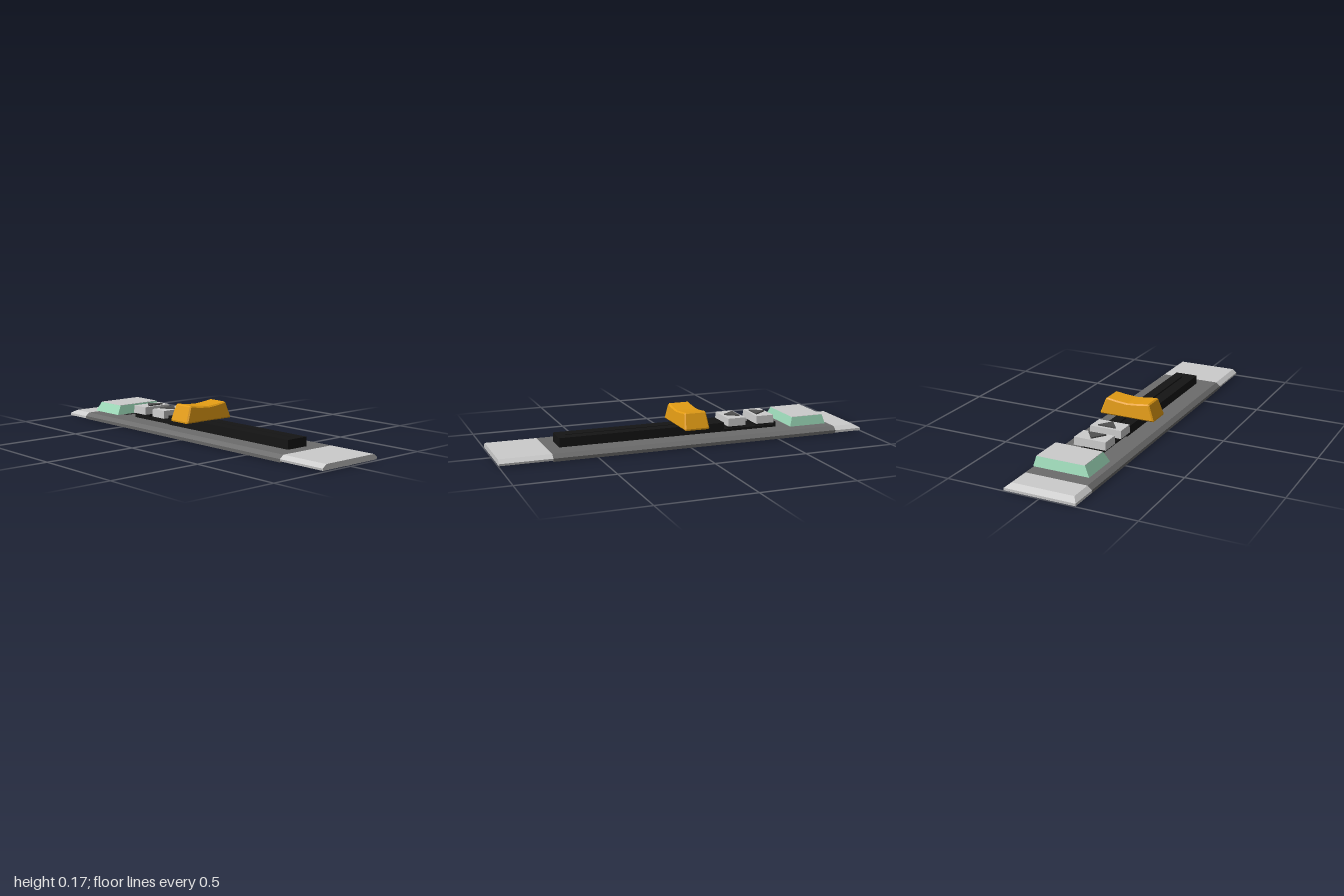
import * as THREE from 'three';

const mat = (color, side = THREE.FrontSide) =>
  new THREE.MeshStandardMaterial({ color, side, flatShading: true });
const GREY = mat(0xcccccc), PLATE = mat(0x6c6c6c), DARK = mat(0x505050), BLACK = mat(0x151515),
  BROWN = mat(0x5a5448), GREY_SHELL = mat(0xcccccc, THREE.DoubleSide),
  ORANGE_SHELL = mat(0xe39c14, THREE.DoubleSide), GREEN_SHELL = mat(0x9ad6b6, THREE.DoubleSide);

function add(group, name, geometry, material) {
  const mesh = new THREE.Mesh(geometry, material);
  mesh.name = name;
  group.add(mesh);
  return mesh;
}

// Box given by its limits on each axis
function box(x0, x1, y0, y1, z0, z1) {
  return new THREE.BoxGeometry(x1 - x0, y1 - y0, z1 - z0)
    .translate((x0 + x1) / 2, (y0 + y1) / 2, (z0 + z1) / 2);
}

// Box whose top face is narrowed to its own limits
function taperedBox([x0, x1, z0, z1], y0, [a0, a1, c0, c1], y1) {
  const g = new THREE.BoxGeometry(1, 1, 1);
  const p = g.attributes.position;
  for (let i = 0; i < p.count; i++) {
    const top = p.getY(i) > 0, right = p.getX(i) > 0, front = p.getZ(i) > 0;
    p.setXYZ(i,
      top ? (right ? a1 : a0) : (right ? x1 : x0),
      top ? y1 : y0,
      top ? (front ? c1 : c0) : (front ? z1 : z0));
  }
  g.computeVertexNormals();
  return g;
}

// Section in (z, y) run along x
function runAlongX(points, x0, x1, bevel = 0) {
  const shape = new THREE.Shape(points.map(([z, y]) => new THREE.Vector2(-z, y)));
  return new THREE.ExtrudeGeometry(shape, {
    depth: x1 - x0 - 2 * bevel, bevelEnabled: bevel > 0, bevelSize: bevel,
    bevelThickness: bevel, bevelOffset: -bevel, bevelSegments: 1,
  }).rotateY(Math.PI / 2).translate(x0 + bevel, 0, 0);
}

// Removes the flat underside, leaving a shell open below
function openBelow(source) {
  const g = source.index ? source.toNonIndexed() : source;
  g.computeBoundingBox();
  const limit = g.boundingBox.min.y + 0.0005;
  const p = g.attributes.position.array, kept = [];
  for (let i = 0; i < p.length; i += 9) {
    if (Math.max(p[i + 1], p[i + 4], p[i + 7]) > limit) kept.push(...p.slice(i, i + 9));
  }
  const shell = new THREE.BufferGeometry();
  shell.setAttribute('position', new THREE.Float32BufferAttribute(kept, 3));
  shell.computeVertexNormals();
  return shell;
}

// Plate section with bevelled upper edges
const upperEdge = [[0.189, 0.017], [0.166, 0.035], [-0.166, 0.035], [-0.189, 0.017]];
const plateSection = (bottom) => [[-0.187, bottom], [0.187, bottom], ...upperEdge];

export function createModel() {
  const model = new THREE.Group();
  model.name = 'sliderPanel';

  // Base plate, with a shallow bay in the underside at the key end
  const base = new THREE.Group();
  base.name = 'base';
  model.add(base);
  add(base, 'basePlate', runAlongX(plateSection(0), -0.6, 0.73), PLATE);
  add(base, 'bayPlate', runAlongX([[-0.187, 0], [-0.175, 0], [-0.175, 0.025], [0.175, 0.025],
    [0.175, 0], [0.187, 0], ...upperEdge], -0.845, -0.6), PLATE);
  add(base, 'bayLining', box(-0.845, -0.6, 0.022, 0.026, -0.175, 0.175), BROWN);

  // Light end caps, hollow below; the one at the key end is bevelled at its tip
  add(base, 'plainEndCap', openBelow(runAlongX(plateSection(0.006), 0.73, 1)), GREY_SHELL);
  add(base, 'bevelledEndCap', openBelow(taperedBox([-1, -0.845, -0.187, 0.187], 0.003,
    [-1, -0.845, -0.189, 0.189], 0.016)).clone(), GREY_SHELL).geometry = capRim();
  add(base, 'endCapBevel', openBelow(taperedBox([-1, -0.845, -0.189, 0.189], 0.016,
    [-0.968, -0.845, -0.166, 0.166], 0.035)), GREY_SHELL);

  // Rail housing with a long slot and a strip at its floor
  const rail = new THREE.Group();
  rail.name = 'rail';
  model.add(rail);
  const outline = rect(THREE.Shape, -0.24, 0.665, -0.068, 0.06);
  outline.holes.push(rect(THREE.Path, -0.18, 0.62, -0.005, 0.005));
  add(rail, 'railHousing', new THREE.ExtrudeGeometry(outline, { depth: 0.049, bevelEnabled: false })
    .rotateX(-Math.PI / 2).translate(0, 0.034, 0), BLACK);
  add(rail, 'slotStrip', box(-0.18, 0.62, 0.034, 0.07, -0.005, 0.005), BROWN);

  // Slider knob: dished top, sides leaning in towards the top
  const knobProfile = [[-0.153, 0.082], [0.153, 0.082], [0.154, 0.09], [0.126, 0.166], [0.118, 0.172],
    [0.06, 0.164], [0, 0.159], [-0.06, 0.164], [-0.118, 0.172], [-0.126, 0.166], [-0.154, 0.09]];
  const knob = runAlongX(knobProfile, -0.118, 0.022, 0.007);
  const kp = knob.attributes.position;
  for (let i = 0; i < kp.count; i++) {
    const t = (kp.getY(i) - 0.082) / 0.09;
    kp.setX(i, -0.048 + (kp.getX(i) + 0.048) * (1 - 0.15 * t));
  }
  add(model, 'sliderKnob', openBelow(knob), ORANGE_SHELL);
  add(model, 'sliderStem', box(-0.075, -0.025, 0.07, 0.15, -0.02, 0.02), BLACK);

  // Pair of arrow buttons on a low black strip
  const buttons = new THREE.Group();
  buttons.name = 'arrowButtons';
  model.add(buttons);
  add(buttons, 'buttonStrip', box(-0.545, -0.235, 0.034, 0.048, -0.062, 0.058), BLACK);
  add(buttons, 'buttonStripEnd', box(-0.545, -0.53, 0.034, 0.062, -0.062, 0.058), BLACK);
  for (const [x, dir, side] of [[-0.467, -1, 'right'], [-0.302, 1, 'left']]) {
    const button = new THREE.Group();
    button.name = side + 'ArrowButton';
    button.position.x = x;
    buttons.add(button);
    add(button, 'buttonStem', box(-0.04, 0.04, 0.04, 0.07, -0.05, 0.05), BLACK);
    add(button, 'buttonCap', taperedBox([-0.051, 0.051, -0.089, 0.089], 0.067,
      [-0.049, 0.049, -0.087, 0.087], 0.109), GREY);
    const arrow = new THREE.Shape([[0.037 * dir, 0], [-0.032 * dir, 0.05], [-0.032 * dir, -0.05]]
      .map(([a, b]) => new THREE.Vector2(a, b)));
    add(button, 'arrow', new THREE.ExtrudeGeometry(arrow, { depth: 0.01, bevelEnabled: false })
      .rotateX(-Math.PI / 2).translate(0, 0.106, 0), DARK);
  }

  // Large key: stem, hollow green skirt and grey top face
  const key = new THREE.Group();
  key.name = 'largeKey';
  model.add(key);
  add(key, 'keyStem', box(-0.755, -0.632, 0.034, 0.09, -0.06, 0.06), DARK);
  add(key, 'keySkirt', openBelow(taperedBox([-0.798, -0.588, -0.152, 0.149], 0.051,
    [-0.783, -0.602, -0.142, 0.12], 0.1)), GREEN_SHELL);
  add(key, 'keyTop', taperedBox([-0.783, -0.602, -0.142, 0.12], 0.099,
    [-0.782, -0.603, -0.141, 0.119], 0.102), GREY);

  return model;
}

// Rectangle outline or hole
function rect(Type, x0, x1, y0, y1) {
  return new Type([[x0, y0], [x1, y0], [x1, y1], [x0, y1]].map(([x, y]) => new THREE.Vector2(x, y)));
}

// Upright rim of the bevelled end cap
function capRim() {
  const rim = rect(THREE.Shape, -1, -0.845, -0.189, 0.189);
  rim.holes.push(rect(THREE.Path, -0.992, -0.853, -0.181, 0.181));
  return new THREE.ExtrudeGeometry(rim, { depth: 0.013, bevelEnabled: false })
    .rotateX(-Math.PI / 2).translate(0, 0.003, 0);
}
